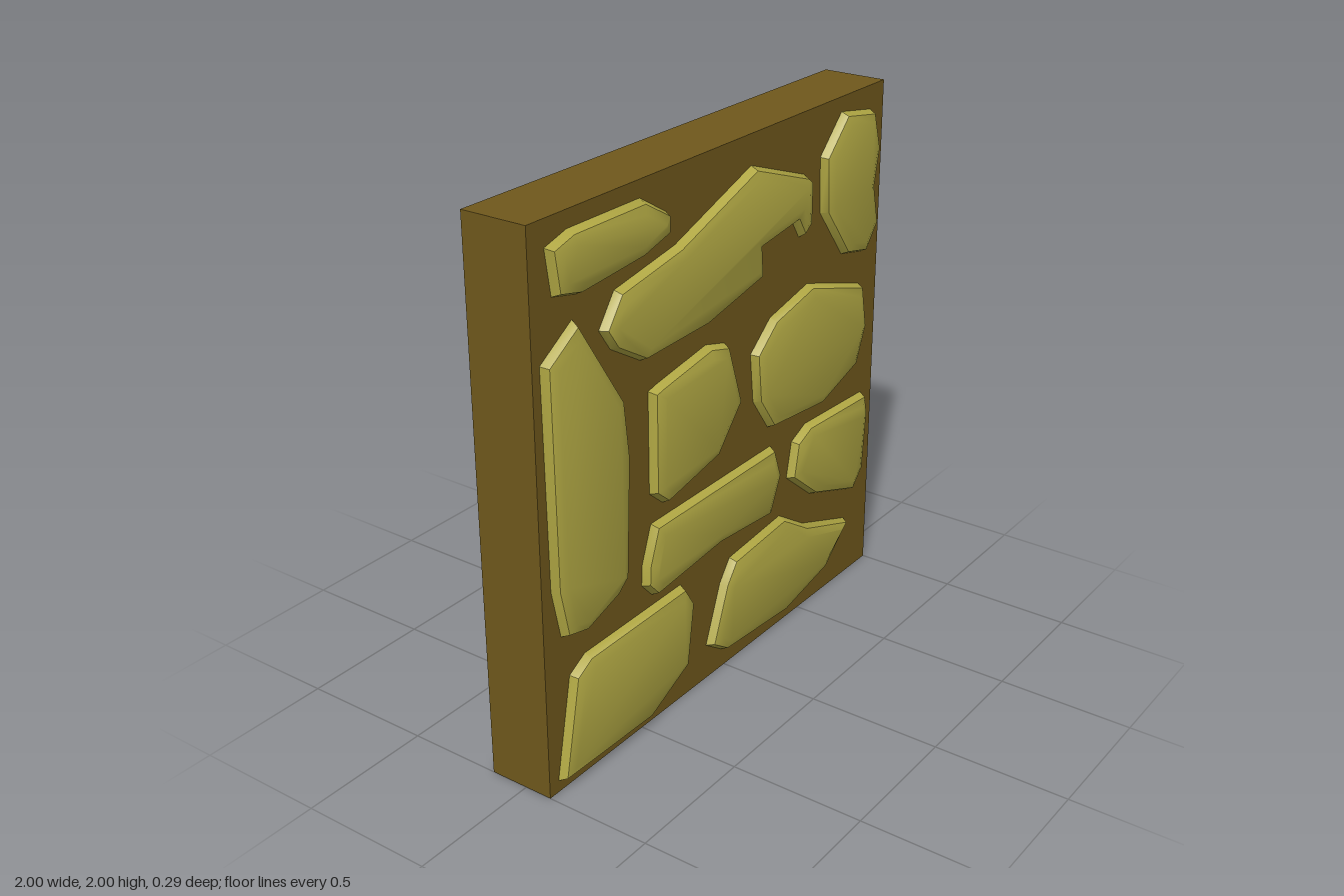
import * as THREE from 'three';
import { toCreasedNormals } from 'three/addons/utils/BufferGeometryUtils.js';

const BACK = -0.145, FACE = 0.105, RELIEF = 0.04;

// Outlines of the stones as [x, y] corners, clockwise
const outlines = {
  topLeftStone: [[-.925, 1.91], [-.82, 1.94], [-.47, 1.94], [-.335, 1.86], [-.335, 1.79], [-.48, 1.75], [-.79, 1.725], [-.9, 1.75]],
  hookedStone: [[-.605, 1.68], [-.29, 1.735], [.14, 1.89], [.47, 1.775], [.5, 1.75], [.5, 1.59], [.445, 1.55], [.4, 1.62],
    [.185, 1.59], [.195, 1.48], [-.14, 1.41], [-.48, 1.4], [-.63, 1.49], [-.685, 1.57]],
  topRightStone: [[.575, 1.81], [.71, 1.945], [.91, 1.91], [.955, 1.76], [.925, 1.62], [.96, 1.47], [.88, 1.37], [.74, 1.4], [.585, 1.6]],
  tallStone: [[-.965, 1.55], [-.81, 1.65], [-.59, 1.31], [-.565, 1.1], [-.585, .66], [-.64, .615], [-.81, .56], [-.915, .585], [-.955, .77]],
  middleStone: [[-.44, 1.275], [-.4, 1.285], [-.12, 1.33], [-.01, 1.3], [.07, 1.06], [-.07, .9], [-.37, .84], [-.44, .9]],
  largeStone: [[.15, 1.2], [.27, 1.3], [.51, 1.355], [.87, 1.245], [.905, 1.07], [.845, .925], [.6, .845], [.265, .875], [.17, 1.01]],
  longStone: [[-.485, .65], [-.435, .785], [.285, .79], [.33, .665], [.265, .52], [-.06, .545], [-.435, .51], [-.49, .57]],
  rightStone: [[.43, .75], [.52, .79], [.92, .775], [.94, .69], [.92, .45], [.85, .375], [.565, .475], [.4, .61]],
  bottomLeftStone: [[-.88, .42], [-.8, .465], [-.27, .47], [-.215, .385], [-.25, .14], [-.475, .035], [-.955, .045]],
  bottomRightStone: [[.03, .44], [.355, .47], [.52, .365], [.825, .255], [.665, .11], [.38, .05], [-.02, .075], [-.115, .14], [-.03, .36]],
};

// A stone with a steep rim that softens into a nearly flat face
function stoneGeometry(points) {
  const shape = new THREE.Shape(points.map(([x, y]) => new THREE.Vector2(x, y)));
  const size = 0.045;
  const geometry = new THREE.ExtrudeGeometry(shape, {
    depth: 0.01, bevelEnabled: true, bevelThickness: RELIEF,
    bevelSize: size, bevelOffset: -size, bevelSegments: 2,
  });
  geometry.translate(0, 0, FACE - 0.01);
  return toCreasedNormals(geometry, 0.6);
}

export function createModel() {
  const model = new THREE.Group();
  model.name = 'stoneWallPanel';
  const mortar = new THREE.MeshStandardMaterial({ color: 0x6f581c });
  const stone = new THREE.MeshStandardMaterial({ color: 0xb0a743 });
  const backing = new THREE.MeshStandardMaterial({ color: 0x8c8470 });

  // Slab, with a paler back face
  const slab = new THREE.Mesh(
    new THREE.BoxGeometry(2, 2, FACE - BACK),
    [mortar, mortar, mortar, mortar, mortar, backing]
  );
  slab.name = 'slab';
  slab.position.set(0, 1, (FACE + BACK) / 2);
  model.add(slab);

  // Raised stones
  const stones = new THREE.Group();
  stones.name = 'stones';
  for (const [name, points] of Object.entries(outlines)) {
    const mesh = new THREE.Mesh(stoneGeometry(points), stone);
    mesh.name = name;
    stones.add(mesh);
  }
  model.add(stones);
  return model;
}
